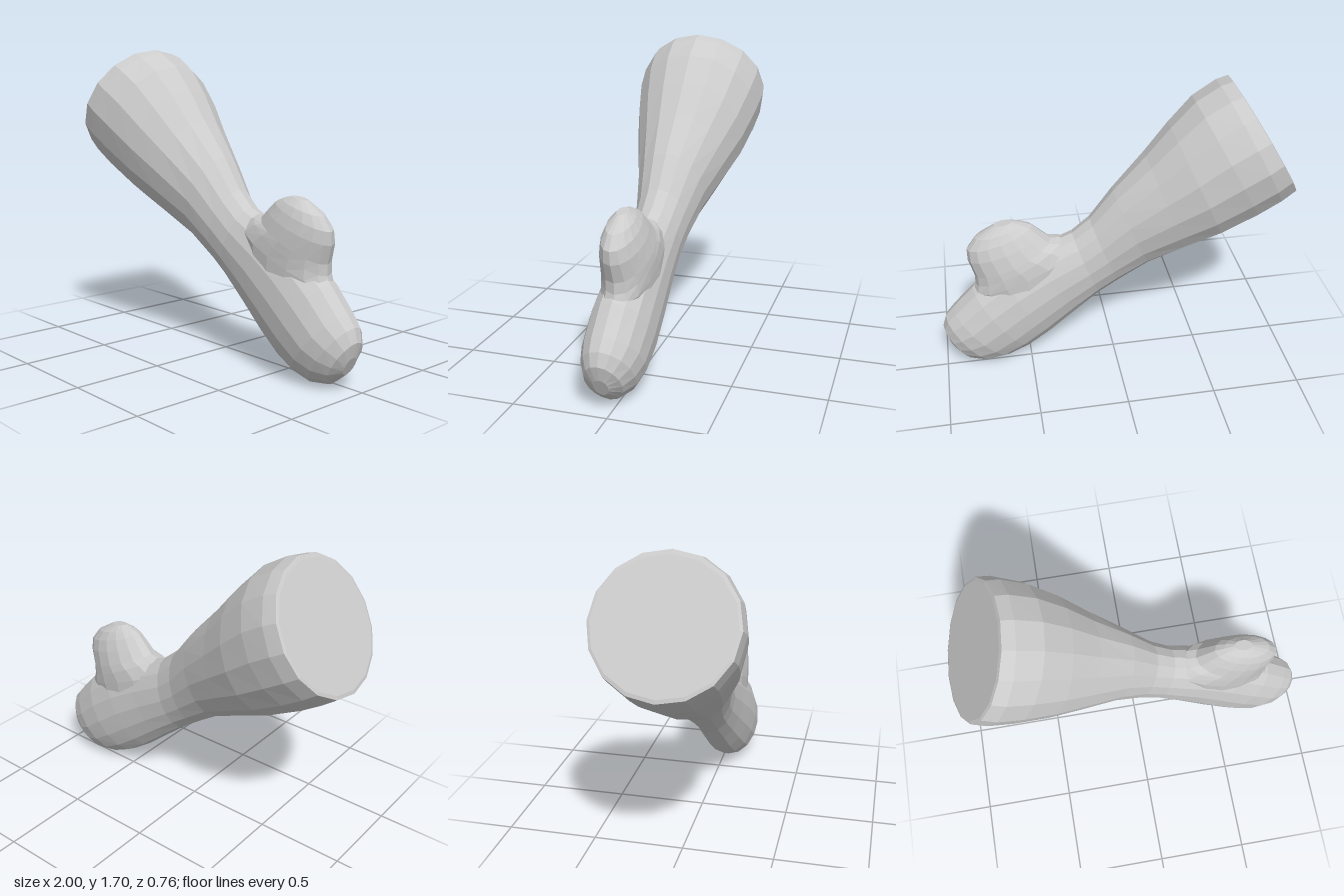
import * as THREE from 'three';

const SIDES = 16;

// Skin a closed tube over elliptical rings: [topX, topY, bottomX, bottomY, halfWidth, centreZ]
function loft(name, rings, material) {
  const pos = [], index = [];
  for (const [tx, ty, bx, by, w, cz] of rings) {
    for (let j = 0; j < SIDES; j++) {
      const a = (j / SIDES) * Math.PI * 2, c = Math.cos(a);
      pos.push((tx + bx) / 2 + c * (tx - bx) / 2, (ty + by) / 2 + c * (ty - by) / 2, cz + Math.sin(a) * w);
    }
  }
  for (let i = 0; i < rings.length - 1; i++) {
    for (let j = 0; j < SIDES; j++) {
      const k = (j + 1) % SIDES;
      const a = i * SIDES + j, b = i * SIDES + k, c = a + SIDES, d = b + SIDES;
      index.push(a, b, d, a, d, c);
    }
  }
  // Flat caps at both ends
  const last = (rings.length - 1) * SIDES;
  for (let j = 1; j < SIDES - 1; j++) {
    index.push(0, j + 1, j);
    index.push(last, last + j, last + j + 1);
  }
  const geo = new THREE.BufferGeometry();
  geo.setAttribute('position', new THREE.Float32BufferAttribute(pos, 3));
  geo.setIndex(index);
  geo.computeVertexNormals();
  const mesh = new THREE.Mesh(geo, material);
  mesh.name = name;
  return mesh;
}

export function createModel() {
  const group = new THREE.Group();
  group.name = 'arm';
  const material = new THREE.MeshStandardMaterial({ color: 0xcccccc, flatShading: true });

  // Wide sleeve end, narrow wrist and rounded mitten hand
  group.add(loft('forearmAndHand', [
    [-0.65, 1.68, -0.995, 1.09, 0.355, 0],
    [-0.635, 1.70, -1.0, 1.07, 0.37, 0],
    [-0.57, 1.68, -0.92, 1.01, 0.38, 0],
    [-0.44, 1.60, -0.80, 0.93, 0.365, 0],
    [-0.31, 1.46, -0.60, 0.82, 0.325, 0],
    [-0.18, 1.30, -0.40, 0.73, 0.265, 0.005],
    [0.00, 1.10, -0.20, 0.635, 0.195, 0.01],
    [0.13, 0.93, -0.03, 0.52, 0.153, 0.015],
    [0.23, 0.845, 0.08, 0.44, 0.142, 0.02],
    [0.45, 0.75, 0.22, 0.32, 0.15, 0.025],
    [0.65, 0.65, 0.37, 0.19, 0.163, 0.03],
    [0.81, 0.53, 0.50, 0.095, 0.17, 0.035],
    [0.93, 0.40, 0.62, 0.035, 0.163, 0.04],
    [0.98, 0.34, 0.73, 0.005, 0.14, 0.042],
    [1.00, 0.27, 0.84, 0.02, 0.10, 0.045],
    [0.98, 0.19, 0.93, 0.09, 0.04, 0.045],
  ], material));

  // Thumb with a flared root blending into the hand
  group.add(loft('thumb', [
    [0.27, 0.52, 0.70, 0.36, 0.14, 0.03],
    [0.19, 0.77, 0.81, 0.50, 0.14, 0.03],
    [0.29, 0.815, 0.79, 0.56, 0.136, 0.03],
    [0.35, 0.82, 0.79, 0.62, 0.13, 0.032],
    [0.40, 0.865, 0.82, 0.72, 0.113, 0.038],
    [0.45, 0.91, 0.82, 0.79, 0.092, 0.042],
    [0.50, 0.93, 0.77, 0.86, 0.068, 0.045],
    [0.56, 0.945, 0.66, 0.93, 0.03, 0.045],
  ], material));

  return group;
}
